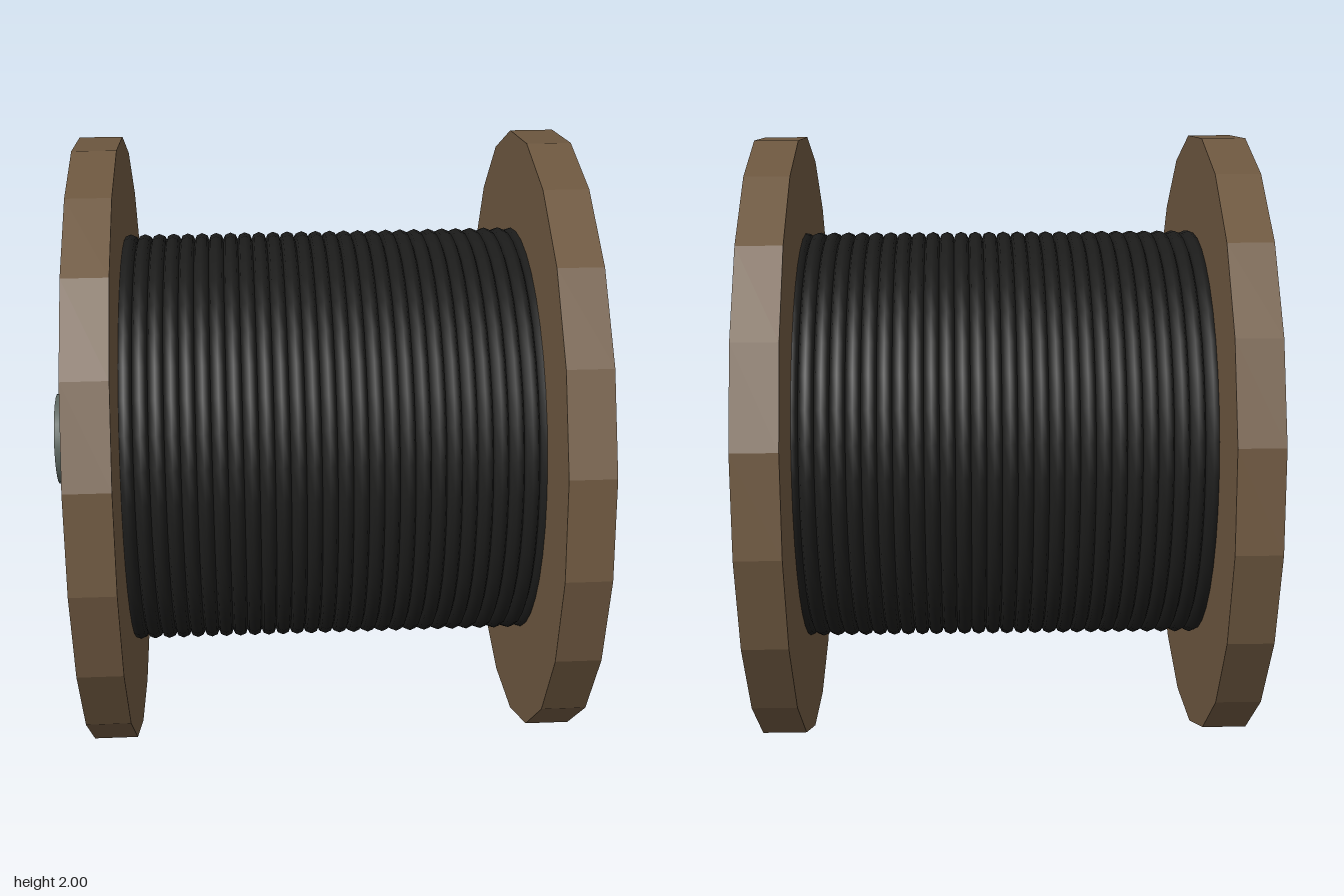
import * as THREE from 'three';

const material = (color, flatShading = false) =>
  new THREE.MeshStandardMaterial({ color, flatShading });

export function createModel() {
  const model = new THREE.Group();
  const wood = material(0x6e5840, true);
  const steel = material(0x5c6660);
  const rubber = material(0x1c1c1b);

  // Cylinder lying along the x axis
  function addCylinder(name, radius, length, sides, mat, x = 0) {
    const geometry = new THREE.CylinderGeometry(radius, radius, length, sides);
    geometry.rotateZ(Math.PI / 2);
    const mesh = new THREE.Mesh(geometry, mat);
    mesh.name = name;
    mesh.position.set(x, 1, 0);
    model.add(mesh);
  }

  // Wooden end discs
  addCylinder('leftFlange', 1, 0.14, 20, wood, 0.713);
  addCylinder('rightFlange', 1, 0.14, 20, wood, -0.713);

  // Axle through both discs, and the drum beneath the cable
  addCylinder('axle', 0.152, 1.786, 24, steel);
  addCylinder('drum', 0.645, 1.3, 40, rubber);

  // Cable wound side by side around the drum
  const cable = new THREE.Group();
  cable.name = 'cable';
  const turn = new THREE.TorusGeometry(0.655, 0.025, 8, 40);
  turn.rotateY(Math.PI / 2);
  for (let i = 0; i < 28; i++) {
    const mesh = new THREE.Mesh(turn, rubber);
    mesh.name = 'cableTurn';
    mesh.position.set(-0.627 + i * 0.0472, 1, 0);
    cable.add(mesh);
  }
  model.add(cable);

  return model;
}
